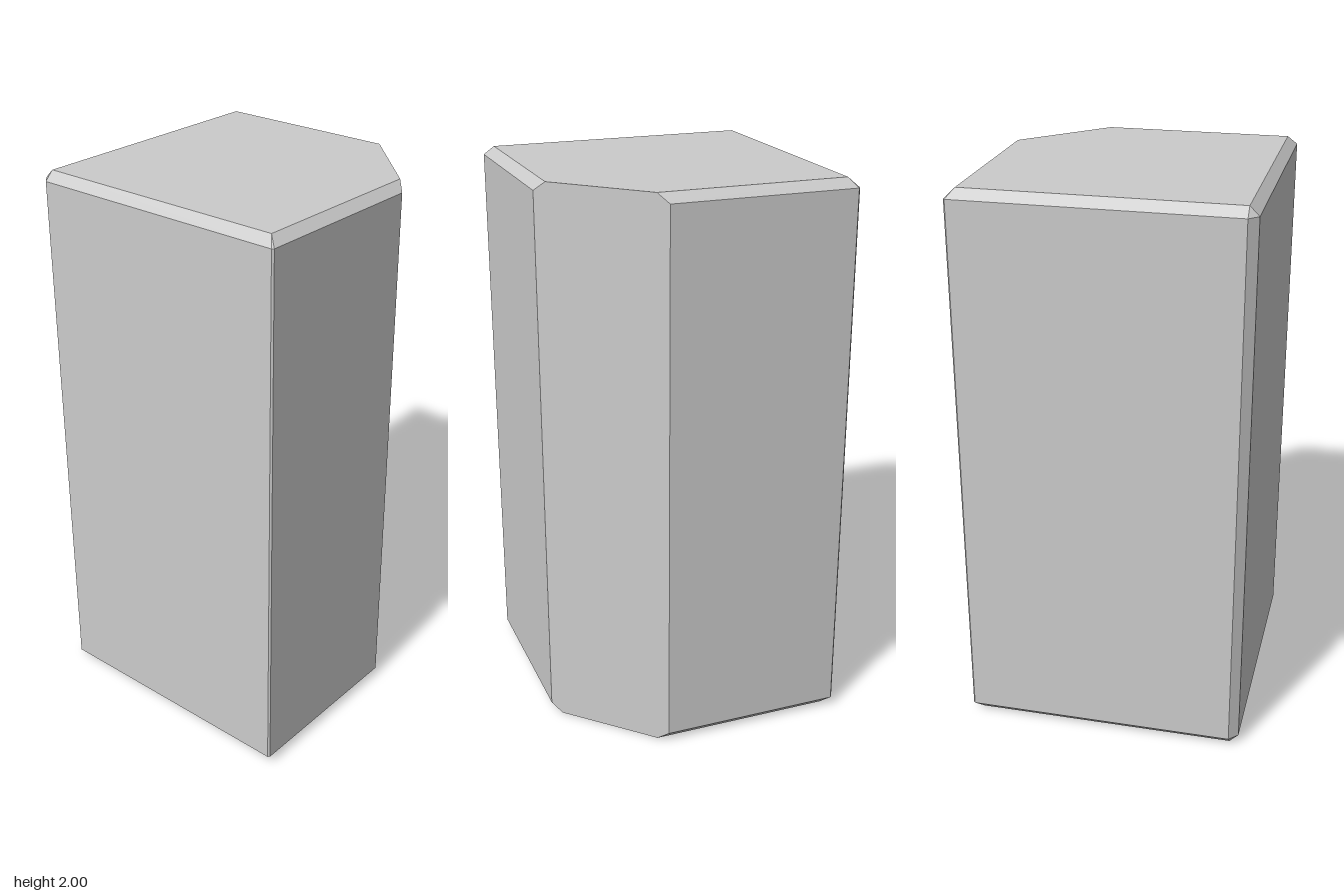
import * as THREE from 'three';
import { ConvexGeometry } from 'three/addons/geometries/ConvexGeometry.js';

const half = 0.5;    // half width and depth
const height = 2;
const bevel = 0.032; // bevel round the top and bottom
const cut = 0.34;    // large cut on the front corner at +x

// Outline of the upright walls, with a chamfer c on each plain corner
function wallOutline() {
  const points = [[half, half - cut], [half - cut, half]];
  for (const [sx, sz, c] of [[-1, 1, 0.006], [-1, -1, bevel], [1, -1, 0.006]]) {
    points.push([sx * half, sz * (half - c)], [sx * (half - c), sz * half]);
  }
  return points;
}

// Outline of the flat caps; the cut corner stays in the plane of the cut
function capOutline() {
  const inner = half - bevel;
  const onCut = half - cut + bevel;
  return [[inner, onCut], [onCut, inner], [-inner, inner], [-inner, -inner], [inner, -inner]];
}

export function createModel() {
  const group = new THREE.Group();
  group.name = 'bevelledBlock';

  // Solid spanned by two wall rings and two cap rings
  const points = [];
  const addRing = (outline, y) => outline.forEach(([x, z]) => points.push(new THREE.Vector3(x, y, z)));
  addRing(capOutline(), 0);
  addRing(wallOutline(), bevel);
  addRing(wallOutline(), height - bevel);
  addRing(capOutline(), height);

  const block = new THREE.Mesh(
    new ConvexGeometry(points),
    new THREE.MeshStandardMaterial({ color: 0xcccccc, flatShading: true })
  );
  block.name = 'block';
  group.add(block);
  return group;
}
